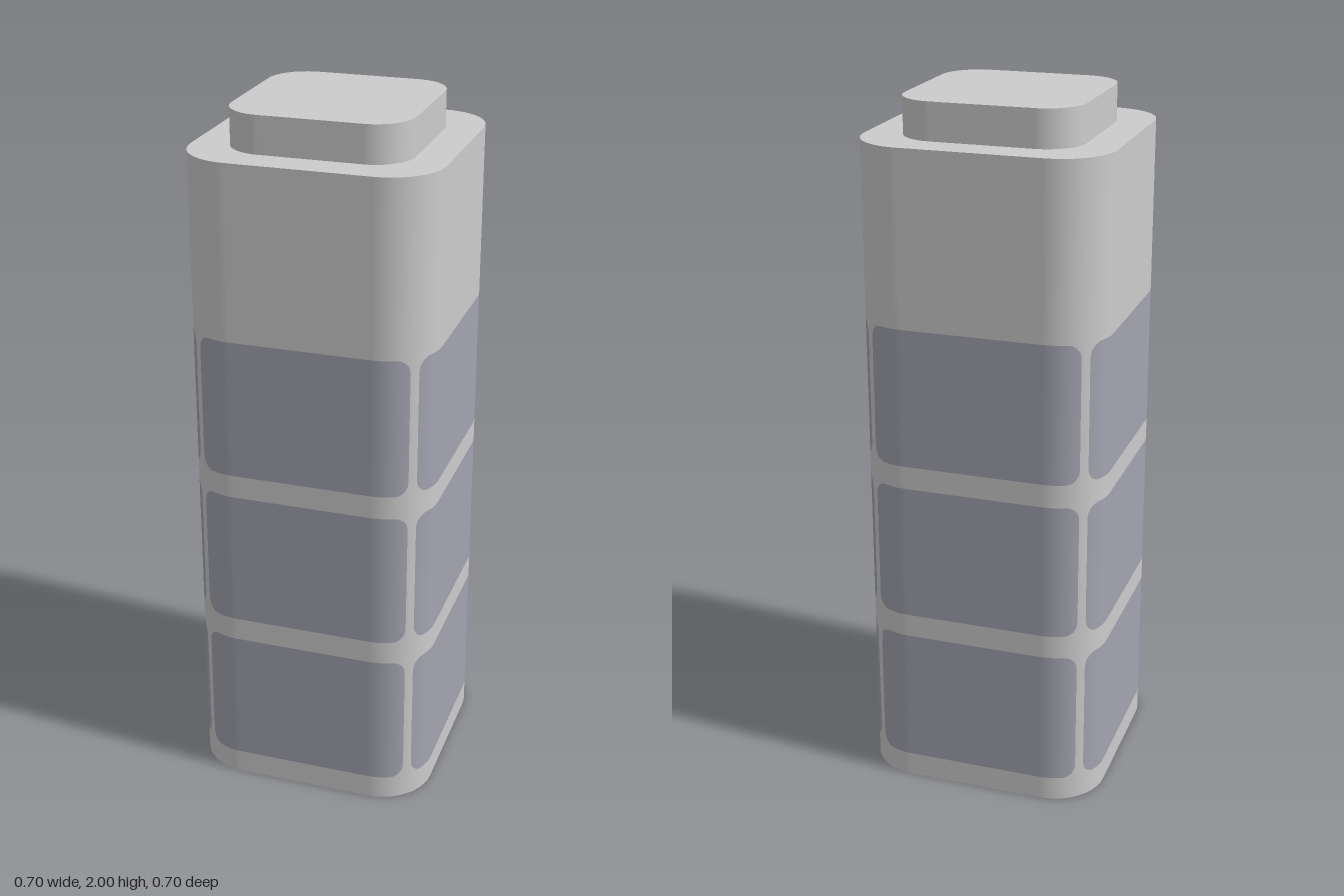
import * as THREE from 'three';

const BODY_TOP = 1.895, CAP_TOP = 2;
const WINDOWS = [[0.07, 0.468], [0.536, 0.933], [1.0, 1.4]];
const STRIP = 40;          // panels stop at 40 degrees round each corner and resume at 50
const ROUND = 0.04;        // panel corner radius
const ANGLES = [0, 8, 16, 25, 29, 33, 36, 38, 39.3, 40, 50, 50.7, 52, 54, 57, 61, 65, 74, 82, 90];

// Rounded-square outline, anticlockwise seen from above
function outline(half, radius) {
  const pts = [];
  for (let q = 0; q < 4; q++) {
    for (const deg of ANGLES) {
      const a = THREE.MathUtils.degToRad(deg), turn = q * Math.PI / 2;
      const p = new THREE.Vector2(half - radius + radius * Math.cos(a), half - radius + radius * Math.sin(a));
      p.rotateAround(new THREE.Vector2(), turn);
      pts.push({ x: p.x, z: -p.y, nx: Math.cos(a + turn), nz: -Math.sin(a + turn), deg });
    }
  }
  return pts;
}

// How far a panel's top and bottom edge draw in at this point of the outline
function inset(deg, radius) {
  const d = THREE.MathUtils.degToRad(Math.abs(deg - 45) - (45 - STRIP)) * radius;
  if (d >= ROUND) return 0;
  const k = ROUND - Math.max(d, 0);
  return ROUND - Math.sqrt(Math.max(ROUND * ROUND - k * k, 0));
}

// Smooth wall of vertical columns; keep(row, column) picks which cells are built
function wall(pts, rowsAt, keep) {
  const pos = [], nor = [], idx = [], rows = rowsAt(pts[0]).length, n = pts.length;
  for (let i = 0; i <= n; i++) {
    const p = pts[i % n];
    for (const y of rowsAt(p)) {
      pos.push(p.x, y, p.z);
      nor.push(p.nx, 0, p.nz);
    }
  }
  for (let i = 0; i < n; i++) {
    for (let r = 0; r < rows - 1; r++) {
      if (!keep(r, pts[i])) continue;
      const a = i * rows + r, b = a + rows;
      idx.push(a, b, b + 1, a, b + 1, a + 1);
    }
  }
  const g = new THREE.BufferGeometry();
  g.setAttribute('position', new THREE.Float32BufferAttribute(pos, 3));
  g.setAttribute('normal', new THREE.Float32BufferAttribute(nor, 3));
  g.setIndex(idx);
  return g;
}

// Flat horizontal lid, optionally with a hole
function lid(pts, y, hole) {
  const flat = list => list.map(p => new THREE.Vector2(p.x, -p.z));
  const shape = new THREE.Shape(flat(pts));
  if (hole) shape.holes.push(new THREE.Path(flat(hole)));
  return new THREE.ShapeGeometry(shape).rotateX(-Math.PI / 2).translate(0, y, 0);
}

export function createModel() {
  const model = new THREE.Group();
  model.name = 'tower';
  const grey = new THREE.MeshStandardMaterial({ color: 0xcccccc, side: THREE.DoubleSide });
  grey.name = 'light grey';
  const blue = new THREE.MeshStandardMaterial({ color: 0xa3a4af, side: THREE.DoubleSide });
  blue.name = 'blue grey';
  const add = (name, geometry, material) => {
    const mesh = new THREE.Mesh(geometry, material);
    mesh.name = name;
    model.add(mesh);
  };

  const radius = 0.152;
  const body = outline(0.352, radius), cap = outline(0.254, 0.11);

  // Hollow body: odd rows are panels, except in the narrow strip at each corner
  const rowsAt = p => {
    const k = inset(p.deg, radius);
    return [0, ...WINDOWS.flatMap(([lo, hi]) => [lo + k, hi - k]), BODY_TOP];
  };
  const isPanel = (r, p) => r % 2 === 1 && p.deg !== STRIP;
  add('bodyWall', wall(body, rowsAt, (r, p) => !isPanel(r, p)), grey);
  add('windowPanels', wall(body, rowsAt, isPanel), blue);
  add('shoulder', lid(body, BODY_TOP, cap), grey);

  // Raised cap
  add('capWall', wall(cap, () => [BODY_TOP, CAP_TOP], () => true), grey);
  add('capTop', lid(cap, CAP_TOP), grey);
  return model;
}
